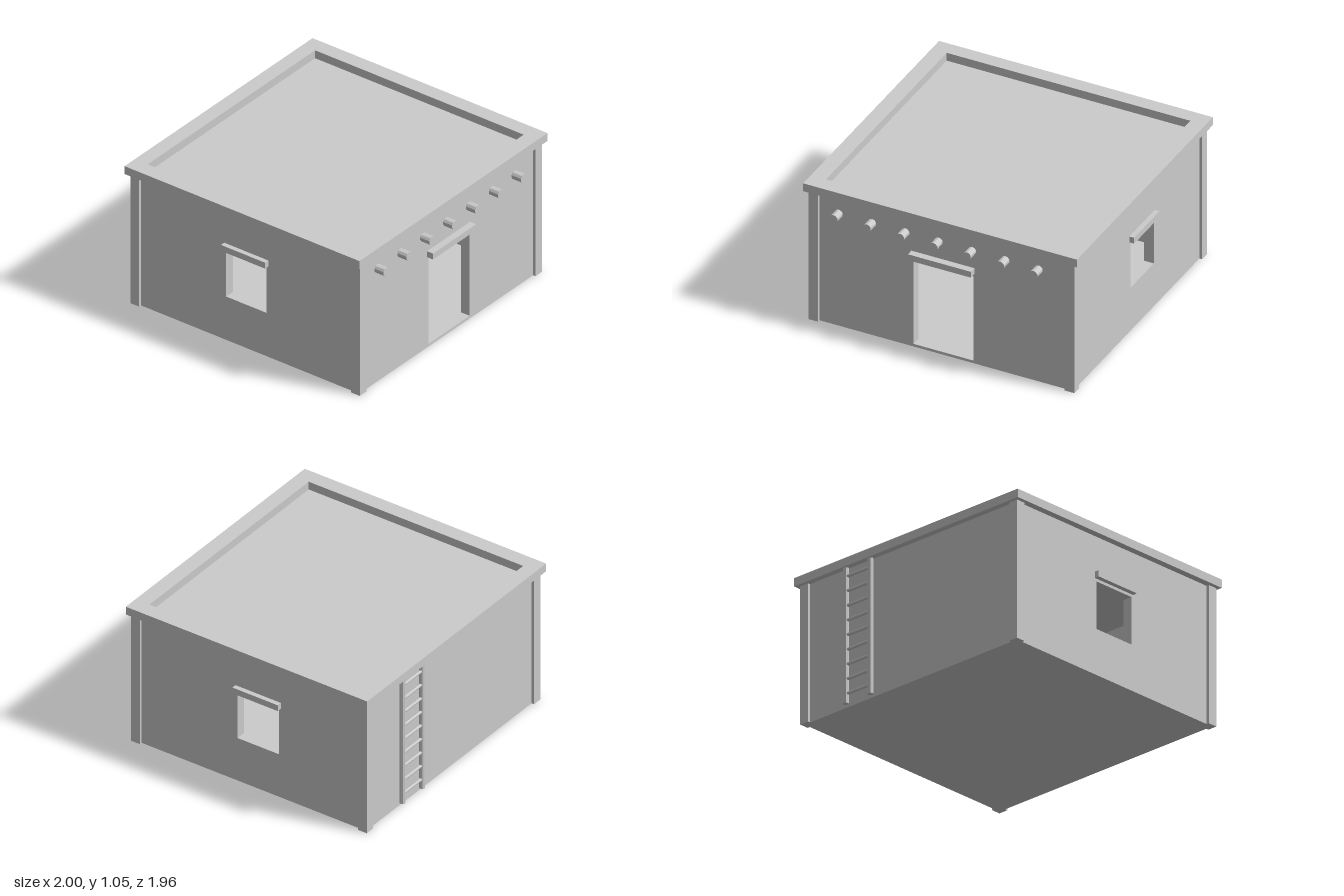
import * as THREE from 'three';

const mat = new THREE.MeshStandardMaterial({ color: 0xcccccc, flatShading: true });

export function createModel() {
  const model = new THREE.Group();
  const add = (name, geo) => {
    const mesh = new THREE.Mesh(geo, mat);
    mesh.name = name;
    model.add(mesh);
    return mesh;
  };
  // Box given by its extents on each axis
  const box = (name, x0, x1, y0, y1, z0, z1) =>
    add(name, new THREE.BoxGeometry(x1 - x0, y1 - y0, z1 - z0)
      .translate((x0 + x1) / 2, (y0 + y1) / 2, (z0 + z1) / 2));
  const rect = (Type, u0, u1, v0, v1) => {
    const r = new Type();
    r.moveTo(u0, v0).lineTo(u1, v0).lineTo(u1, v1).lineTo(u0, v1).closePath();
    return r;
  };
  // Upright slab with an optional rectangular opening
  const slab = (outer, hole, depth) => {
    const shape = rect(THREE.Shape, ...outer);
    if (hole) shape.holes.push(rect(THREE.Path, ...hole));
    return new THREE.ExtrudeGeometry(shape, { depth, bevelEnabled: false });
  };

  const T = 0.07, X = 0.95, ZF = 0.905, ZB = -0.935, H = 0.99;

  // Walls
  add('frontWall', slab([-X, X, 0, H], [-0.215, 0.225, 0.02, 0.67], T).translate(0, 0, ZF - T));
  box('backWall', -X, X, 0, H, ZB, ZB + T);
  for (const [side, name, z0, z1] of [[1, 'left', -0.24, 0.09], [-1, 'right', -0.185, 0.145]]) {
    add(name + 'Wall', slab([ZB + T, ZF - T, 0, H], [z0, z1, 0.33, 0.67], T)
      .rotateY(-Math.PI / 2).translate(side > 0 ? X : -X + T, 0, 0));
    const a = side * 0.945, b = side * 0.985;
    box(name + 'WindowLintel', Math.min(a, b), Math.max(a, b), 0.69, 0.735, z0 - 0.016, z1 + 0.016);
  }
  box('doorLintel', -0.23, 0.23, 0.69, 0.735, 0.9, 0.955);

  // Floor and sunken roof
  box('floor', -X + T, X - T, 0, 0.02, ZB + T, ZF - T);
  box('roof', -X + T, X - T, 0.93, H, ZB + T, ZF - T);

  // Raised roof rim
  add('roofRim', slab([-1, 1, -0.945, 0.98], [-0.89, 0.89, -0.835, 0.875], 0.06)
    .rotateX(-Math.PI / 2).translate(0, H, 0));

  // Corner posts
  for (const x of [-0.97, 0.9])
    for (const z of [-0.955, 0.855]) box('cornerPost', x, x + 0.07, 0, H, z, z + 0.07);

  // Row of round beam ends above the door
  for (let i = 0; i < 7; i++)
    add('beamEnd', new THREE.CylinderGeometry(0.03, 0.03, 0.09, 10).rotateX(Math.PI / 2))
      .position.set(-0.76 + i * 0.2433, 0.865, 0.935);

  // Ladder on the back wall
  for (const x of [0.345, 0.565])
    add('ladderRail', new THREE.CylinderGeometry(0.02, 0.02, 0.97, 8))
      .position.set(x, 0.505, -0.951);
  for (let i = 0; i < 9; i++)
    add('ladderRung', new THREE.CylinderGeometry(0.011, 0.011, 0.22, 8).rotateZ(Math.PI / 2))
      .position.set(0.455, 0.09 + i * 0.105, -0.951);

  return model;
}
